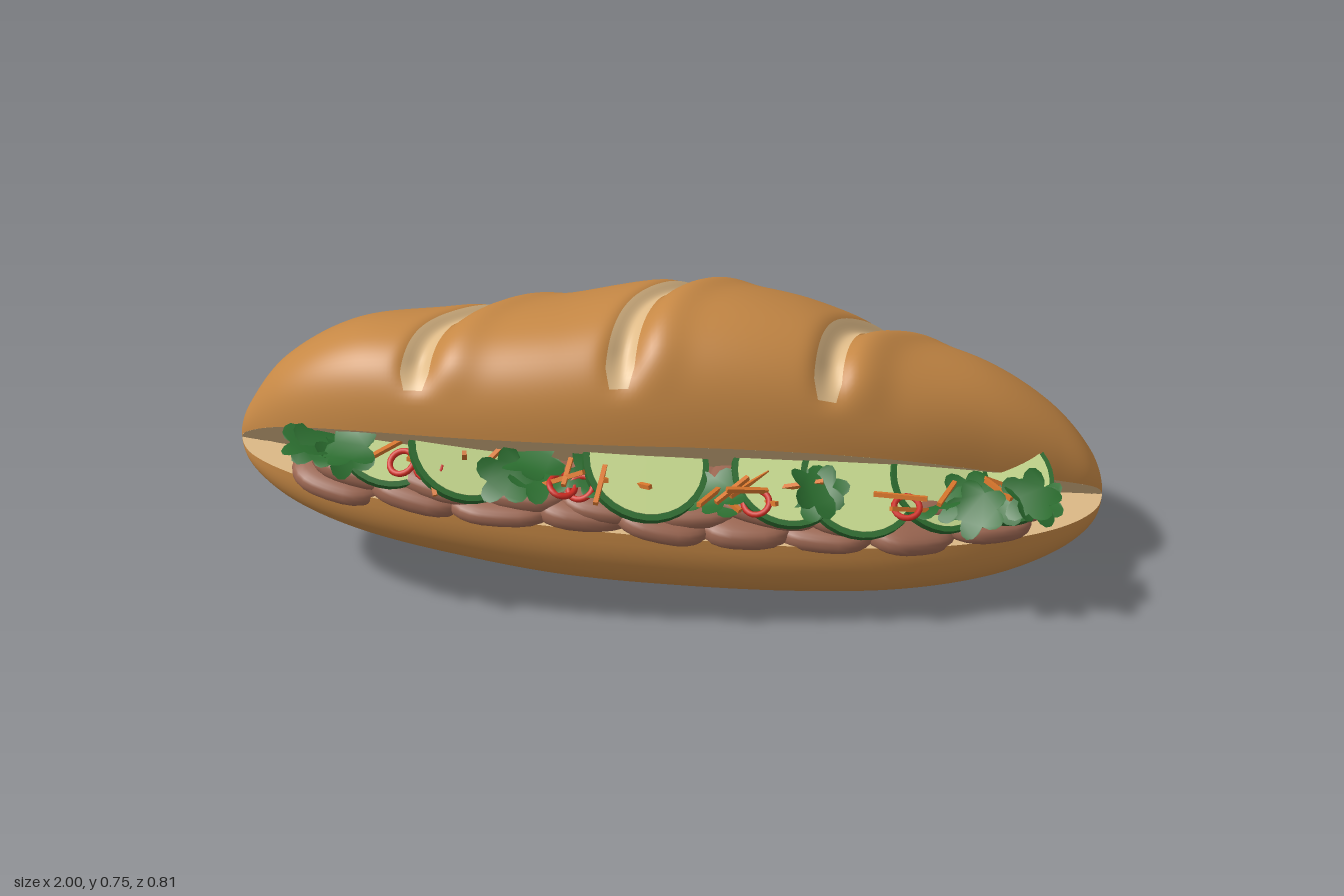
import * as THREE from 'three';

const mat = (name, color, side = THREE.FrontSide) => {
  const m = new THREE.MeshStandardMaterial({ color, side });
  m.name = name;
  return m;
};

// Profile sampled at x = -cos(k * PI / 12), smoothly interpolated
const profile = (values) => {
  const curve = new THREE.SplineCurve(values.map((v, i) => new THREE.Vector2(i, v)));
  return (x) => curve.getPoint(Math.acos(THREE.MathUtils.clamp(-x, -1, 1)) / Math.PI).y;
};
const topHeight = profile([.34, .44, .575, .662, .685, .708, .735, .688, .583, .495, .385, .27, .16]);
const topFront = profile([0, .10, .21, .285, .33, .355, .35, .32, .26, .175, .10, .04, -.05]);
const topBack = profile([0, -.075, -.145, -.228, -.29, -.342, -.382, -.405, -.395, -.35, -.28, -.18, -.05]);
const lowFront = profile([0, .09, .17, .245, .295, .325, .335, .33, .30, .235, .15, .05, -.05]);
const lowBack = profile([0, -.11, -.20, -.268, -.32, -.355, -.385, -.403, -.388, -.335, -.25, -.145, -.05]);
const lowBottom = profile([.34, .275, .2, .145, .098, .052, .025, .007, 0, .012, .05, .1, .16]);

// Flat cut of the lower half, and the hinged-open cut of the upper half
const seat = (x) => 0.25 - 0.09 * x;
const cut = (x, z) => Math.max(seat(x) + 0.003, 0.207 + 0.786 * z + (x < 0 ? 0.12 * x * x : -0.02 * x));

// Baker's slashes run diagonally over the upper half
const slashes = [-0.43, 0.01, 0.455];
const slashStart = 0.40, slashEnd = 2.65;
const slashX = (x0, t) => x0 - 0.13 * Math.sin(Math.cos(t) * Math.PI / 2);
const power = (v, e) => Math.sign(v) * Math.abs(v) ** e;

function dome(x, t, lift = 0) {
  const zf = topFront(x), zb = topBack(x), yf = cut(x, zf), yb = seat(x) + 0.003;
  const my = (yf + yb) / 2, d = (yf - yb) / 2;
  const h = Math.sqrt(Math.max(0, (topHeight(x) - my) ** 2 - d * d));
  // fuller front shoulder
  if (t < Math.PI / 2) lift += 0.06 * h * Math.sin(2 * t) ** 2;
  const fade = THREE.MathUtils.smoothstep(t, slashStart - 0.12, slashStart + 0.3)
    * (1 - THREE.MathUtils.smoothstep(t, slashEnd - 0.3, slashEnd + 0.12));
  for (const x0 of slashes) {
    const s = x - slashX(x0, t);
    lift += fade * (0.01 * Math.exp(-(((s - 0.08) / 0.045) ** 2)) - 0.034 * Math.exp(-((s / 0.034) ** 2)));
  }
  const c = Math.cos(t), sn = Math.sin(t);
  return [x, my + d * c + h * sn + lift * sn, (zf + zb) / 2 + (zf - zb) / 2 * c + lift * c];
}

// Grid surface from a function of u and v in 0..1
function sheet(name, material, nu, nv, fn) {
  const pos = [], idx = [];
  for (let i = 0; i <= nu; i++) for (let j = 0; j <= nv; j++) pos.push(...fn(i / nu, j / nv));
  for (let i = 0; i < nu; i++) for (let j = 0; j < nv; j++) {
    const a = i * (nv + 1) + j, b = a + nv + 1;
    idx.push(a, b, b + 1, a, b + 1, a + 1);
  }
  const g = new THREE.BufferGeometry();
  g.setAttribute('position', new THREE.Float32BufferAttribute(pos, 3));
  g.setIndex(idx);
  g.computeVertexNormals();
  const m = new THREE.Mesh(g, material);
  m.name = name;
  return m;
}

// Lobed herb leaf, slightly cupped
function leafGeometry() {
  const pts = [];
  for (let i = 0; i < 30; i++) {
    const a = i / 30 * Math.PI * 2;
    const r = 0.07 * (0.6 + 0.4 * Math.abs(Math.cos(a * 2.5)));
    pts.push(new THREE.Vector2(r * Math.cos(a), r * Math.sin(a)));
  }
  const g = new THREE.ShapeGeometry(new THREE.Shape(pts));
  const p = g.attributes.position;
  for (let i = 0; i < p.count; i++) p.setZ(i, 4 * p.getX(i) ** 2 - 3 * p.getY(i) ** 2);
  g.computeVertexNormals();
  return g;
}

// Unit lump with blunt sides, scaled into each meat slice
function lumpGeometry() {
  const g = new THREE.SphereGeometry(1, 28, 18);
  const p = g.attributes.position;
  for (let i = 0; i < p.count; i++) {
    p.setXYZ(i, power(p.getX(i), 0.75), power(p.getY(i), 0.75), power(p.getZ(i), 0.75));
  }
  g.computeVertexNormals();
  return g;
}

export function createModel() {
  const model = new THREE.Group();
  model.name = 'filledRoll';
  const crust = mat('crust', 0xc68845);
  const crumb = mat('crumb', 0xdfbb88);
  const meat = mat('meat', 0x9c6752);
  const flesh = mat('cucumberFlesh', 0xc6d98e);
  const skin = mat('cucumberSkin', 0x2c6a2e);
  const leaf = mat('leaf', 0x2a6c2e, THREE.DoubleSide);
  const carrot = mat('carrot', 0xd8762c);
  const chili = mat('chili', 0xcc2a20);

  let seed = 7;
  const rand = (a, b) => {
    seed = (seed * 16807) % 2147483647;
    return a + (b - a) * seed / 2147483647;
  };
  const xAt = (u) => -Math.cos(u * Math.PI);

  // Upper half: crust dome, hinged cut face, pale slashes
  const upper = new THREE.Group();
  upper.name = 'upperHalf';
  upper.add(sheet('upperCrust', crust, 280, 60, (u, v) => dome(xAt(u), v * Math.PI)));
  upper.add(sheet('upperCutFace', crumb, 80, 30, (u, v) => {
    const x = xAt(u), z = THREE.MathUtils.lerp(topBack(x), topFront(x), v);
    return [x, cut(x, z), z];
  }));
  for (const x0 of slashes) {
    upper.add(sheet('slash', crumb, 10, 60, (u, v) => {
      const t = THREE.MathUtils.lerp(slashStart, slashEnd, v);
      const width = 0.031 * Math.min(1, 0.65 + 5 * Math.min(v, 1 - v));
      return dome(slashX(x0, t) - 0.006 + (u * 2 - 1) * width, t, 0.005);
    }));
  }
  model.add(upper);

  // Lower half: rounded crust and flat cut face
  const lower = new THREE.Group();
  lower.name = 'lowerHalf';
  lower.add(sheet('lowerCrust', crust, 100, 40, (u, v) => {
    const x = xAt(u), f = lowFront(x), b = lowBack(x), t = v * Math.PI;
    const depth = (seat(x) - lowBottom(x)) * power(Math.sin(t), 0.82);
    return [x, seat(x) - depth, (f + b) / 2 - (f - b) / 2 * power(Math.cos(t), 0.82)];
  }));
  lower.add(sheet('lowerCutFace', crumb, 80, 4, (u, v) => {
    const x = xAt(u);
    return [x, seat(x), THREE.MathUtils.lerp(lowFront(x), lowBack(x), v)];
  }));
  model.add(lower);

  // Fillings sit relative to the front rim of the lower half
  const filling = new THREE.Group();
  filling.name = 'filling';
  model.add(filling);
  const place = (obj, name, x, up, out) => {
    obj.name = name;
    obj.position.set(x, seat(x) + up, lowFront(x) + out);
    filling.add(obj);
    return obj;
  };

  // Meat slices in two overlapping rows
  const lump = lumpGeometry();
  for (let row = 0; row < 2; row++) {
    for (let i = 0; i < 9; i++) {
      const x = -0.74 + i * 0.177 + row * 0.05;
      const m = place(new THREE.Mesh(lump, meat), 'meatSlice', x, 0.026 + row * 0.042 + rand(-0.008, 0.008), -0.10 - row * 0.01 + rand(-0.01, 0.016));
      m.scale.set(rand(0.105, 0.14), rand(0.033, 0.04), 0.12);
      m.rotation.set(rand(0, 0.2), rand(-0.15, 0.15) + (x > 0.4 ? 0.4 : x < -0.5 ? -0.3 : 0), -0.13 + rand(-0.12, 0.08));
    }
  }

  // Cucumber slices leaning against the meat: x, radius
  for (const [x, r] of [[-0.63, 0.12], [-0.46, 0.13], [-0.07, 0.14], [0.24, 0.125], [0.4, 0.135], [0.58, 0.12], [0.73, 0.115]]) {
    const slice = new THREE.Group();
    slice.add(new THREE.Mesh(new THREE.CylinderGeometry(r, r, 0.018, 32), skin));
    slice.add(new THREE.Mesh(new THREE.CylinderGeometry(r * 0.9, r * 0.9, 0.022, 32), flesh));
    slice.children[0].name = 'cucumberSkin';
    slice.children[1].name = 'cucumberFlesh';
    place(slice, 'cucumberSlice', x, 0.152 - 0.035 * Math.abs(x), -0.06);
    slice.rotation.set(0.72 + rand(-0.08, 0.08), 0, rand(-0.35, -0.12));
  }

  // Herb leaves in loose clusters: x, distance past the rim, leaf count
  const leafGeo = leafGeometry();
  for (const [x, out, count] of [[-0.76, 0.06, 4], [-0.34, 0.0, 3], [-0.2, -0.02, 1], [0.1, -0.01, 2], [0.27, -0.01, 2], [0.6, 0.0, 3], [0.7, 0.04, 2], [0.8, 0.08, 3]]) {
    for (let k = 0; k < count; k++) {
      const m = place(new THREE.Mesh(leafGeo, leaf), 'herbLeaf', x + rand(-0.05, 0.05), rand(0.10, 0.15), out + rand(-0.03, 0.015));
      m.rotation.set(-1.15 + rand(-0.35, 0.35), rand(-0.35, 0.35), rand(0, 6));
    }
  }

  // Carrot shreds
  for (let i = 0; i < 24; i++) {
    const g = new THREE.BoxGeometry(rand(0.07, 0.12), 0.01, 0.01);
    const x = rand(-0.78, 0.8);
    const m = place(new THREE.Mesh(g, carrot), 'carrotShred', x, rand(0.095, 0.15), rand(-0.03, 0.025));
    m.rotation.set(rand(-0.5, 0.5), rand(-1.5, 1.5), rand(-0.35, 0.35));
  }

  // Chili rings
  const ringGeo = new THREE.TorusGeometry(0.028, 0.007, 8, 20);
  for (const x of [-0.6, -0.54, -0.25, -0.21, 0.17, 0.5]) {
    const m = place(new THREE.Mesh(ringGeo, chili), 'chiliRing', x, 0.108, 0.008);
    m.rotation.set(-1.1 + rand(-0.2, 0.2), rand(-0.3, 0.3), 0);
  }
  return model;
}
